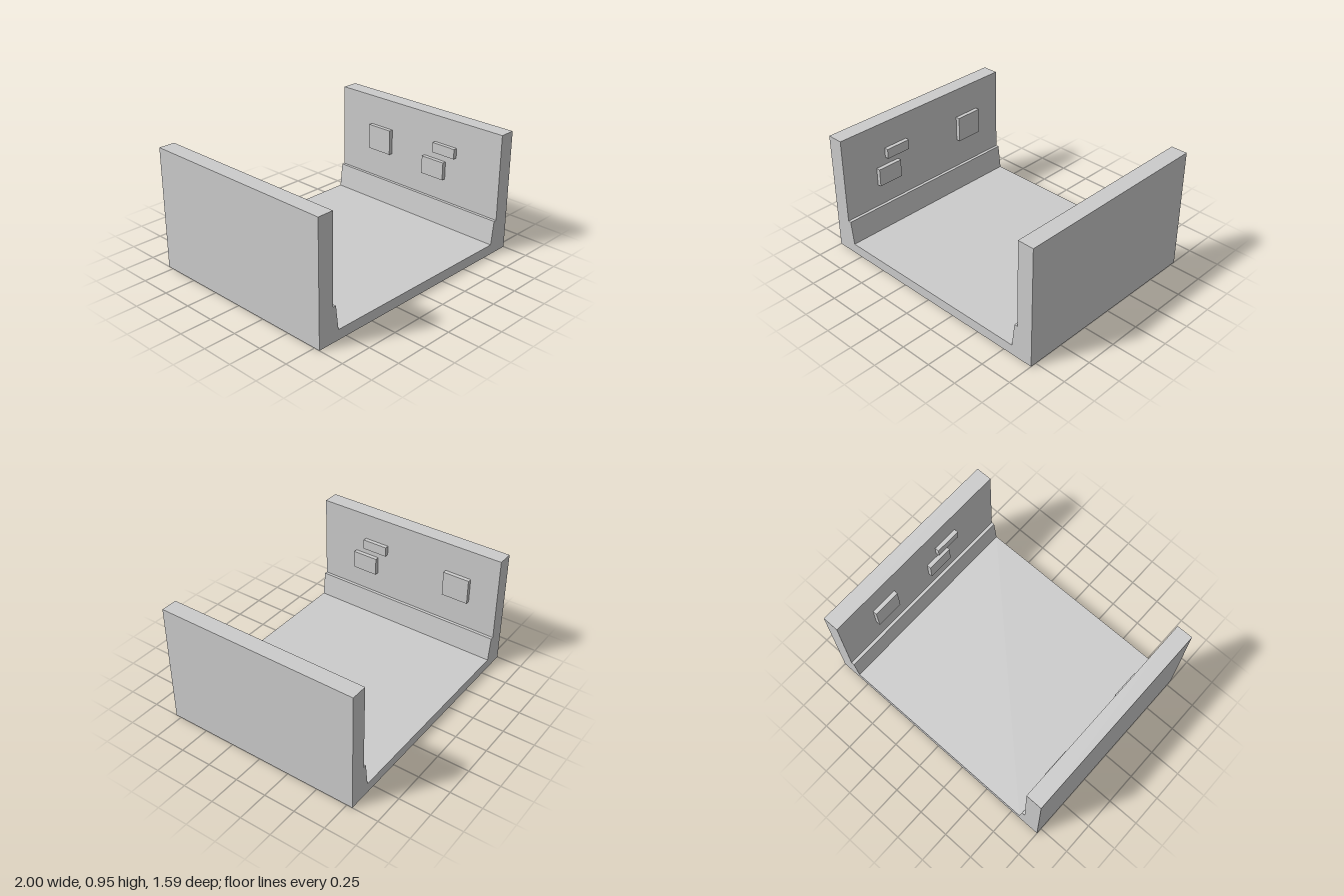
import * as THREE from 'three';

const material = new THREE.MeshStandardMaterial({ color: 0xcccccc, flatShading: true });
const sheet = new THREE.MeshStandardMaterial({ color: 0xcccccc, flatShading: true, side: THREE.DoubleSide });

const HALF_DEPTH = 0.795;
const UNDERSIDE = 0.075; // height of the recessed underside

function add(group, name, geometry, mat = material) {
  const mesh = new THREE.Mesh(geometry, mat);
  mesh.name = name;
  group.add(mesh);
  return mesh;
}

export function createModel() {
  const model = new THREE.Group();
  model.name = 'channel';

  // U-shaped channel: floor, sloped kerbs with a ledge, upright side walls
  const half = [[0.825, 0.08], [0.848, 0.27], [0.873, 0.27], [0.873, 0.955], [1, 0.955], [1, UNDERSIDE]];
  const outline = [
    ...half.map(([x, y]) => new THREE.Vector2(x, y)),
    ...half.slice().reverse().map(([x, y]) => new THREE.Vector2(-x, y)),
  ];
  const body = new THREE.ExtrudeGeometry(new THREE.Shape(outline), { depth: 2 * HALF_DEPTH, bevelEnabled: false });
  body.translate(0, 0, -HALF_DEPTH);
  add(model, 'channelBody', body);

  // Thin skirt around the recessed underside
  const skirt = new THREE.Group();
  skirt.name = 'skirt';
  for (let i = 0; i < 4; i++) {
    const end = i % 2 === 0;
    const plane = new THREE.PlaneGeometry(end ? 2 : 2 * HALF_DEPTH, UNDERSIDE);
    plane.translate(0, UNDERSIDE / 2, end ? HALF_DEPTH : 1);
    plane.rotateY(i * Math.PI / 2);
    add(skirt, ['frontSkirt', 'leftSkirt', 'backSkirt', 'rightSkirt'][i], plane, sheet);
  }
  model.add(skirt);

  // Raised pads on the inner wall faces: [name, y0, y1, z0, z1]
  const pads = {
    right: [
      ['LargePad', 0.51, 0.715, -0.56, -0.34],
      ['SlimPad', 0.66, 0.74, 0.19, 0.4],
      ['LowPad', 0.455, 0.6, 0.28, 0.49],
    ],
    left: [
      ['LargePad', 0.51, 0.715, -0.48, -0.26],
      ['SlimPad', 0.66, 0.74, 0.18, 0.39],
      ['LowPad', 0.455, 0.6, 0.08, 0.29],
    ],
  };
  for (const [side, list] of Object.entries(pads)) {
    const sign = side === 'left' ? 1 : -1;
    for (const [name, y0, y1, z0, z1] of list) {
      const pad = add(model, side + name, new THREE.BoxGeometry(0.04, y1 - y0, z1 - z0));
      pad.position.set(sign * 0.86, (y0 + y1) / 2, (z0 + z1) / 2);
    }
  }
  return model;
}
